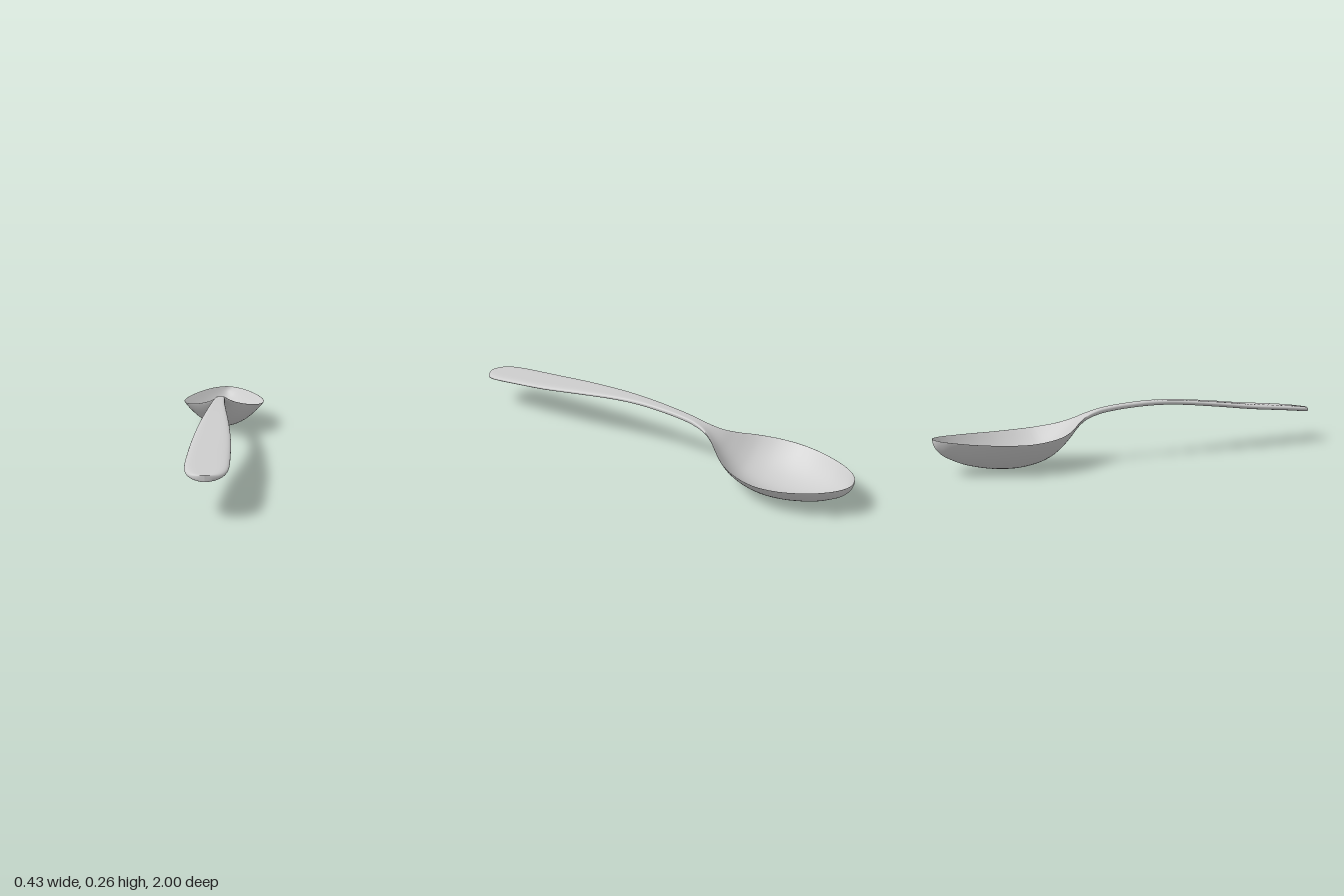
import * as THREE from 'three';

// Stations from handle end to bowl tip: [z, half width, rim height, bowl depth, half thickness]
const STATIONS = [
  [1, 0, 0.157, 0, 0.0125],
  [0.995, 0.028, 0.157, 0, 0.0125],
  [0.98, 0.055, 0.159, 0, 0.0125],
  [0.95, 0.073, 0.163, 0, 0.0125],
  [0.9, 0.083, 0.169, 0, 0.0125],
  [0.8, 0.085, 0.179, 0, 0.0125],
  [0.6, 0.08, 0.197, 0, 0.0125],
  [0.4, 0.066, 0.22, 0, 0.012],
  [0.2, 0.046, 0.239, 0, 0.011],
  [0.05, 0.033, 0.244, 0, 0.011],
  [-0.1, 0.026, 0.237, 0, 0.011],
  [-0.2, 0.024, 0.226, 0, 0.011],
  [-0.25, 0.026, 0.216, 0.001, 0.011],
  [-0.3, 0.036, 0.203, 0.008, 0.01],
  [-0.35, 0.063, 0.184, 0.026, 0.008],
  [-0.4, 0.106, 0.165, 0.057, 0.007],
  [-0.45, 0.149, 0.152, 0.087, 0.006],
  [-0.5, 0.18, 0.143, 0.108, 0.006],
  [-0.57, 0.206, 0.136, 0.122, 0.006],
  [-0.65, 0.217, 0.132, 0.126, 0.006],
  [-0.73, 0.207, 0.133, 0.123, 0.006],
  [-0.8, 0.185, 0.136, 0.114, 0.006],
  [-0.87, 0.152, 0.14, 0.099, 0.006],
  [-0.92, 0.12, 0.144, 0.081, 0.006],
  [-0.96, 0.085, 0.147, 0.061, 0.006],
  [-0.985, 0.051, 0.149, 0.037, 0.006],
  [-0.996, 0.026, 0.15, 0.018, 0.005],
  [-1, 0, 0.15, 0, 0.004],
];
const STEPS = 5;      // rings between two stations
const HALF = 32;      // segments across the top, and again across the underside
const NECK = 13;      // station where the handle meets the bowl

export function createModel() {
  const group = new THREE.Group();
  group.name = 'spoon';
  const material = new THREE.MeshStandardMaterial({ color: 0xcccccc });

  // One smooth curve per column of the table
  const curves = [0, 1, 2, 3, 4].map(
    (k) => new THREE.SplineCurve(STATIONS.map((row, i) => new THREE.Vector2(i, row[k]))));
  const rings = (STATIONS.length - 1) * STEPS;
  const around = HALF * 2;
  const positions = [];

  // Cross-section: a parabolic dish of the given depth, thickened with a rounded rim
  for (let i = 0; i <= rings; i++) {
    const [z, w, rim, depth, thick] = curves.map((c) => c.getPoint(i / rings).y);
    for (let j = 0; j < around; j++) {
      const t = -Math.cos((j / HALF) * Math.PI);
      const side = j < HALF ? 1 : -1;
      const round = Math.sqrt(Math.max(0, 1 - Math.pow(Math.abs(t), 6)));
      positions.push(w * t, rim - depth * (1 - t * t) + side * thick * round, z);
    }
  }

  const strip = (from, to) => {
    const index = [];
    for (let i = from; i < to; i++) {
      for (let j = 0; j < around; j++) {
        const k = (j + 1) % around;
        const a = i * around + j, b = i * around + k;
        const c = b + around, d = a + around;
        index.push(a, b, d, b, c, d);
      }
    }
    return index;
  };

  // Normals come from the whole surface so handle and bowl flow together
  const whole = new THREE.BufferGeometry();
  whole.setAttribute('position', new THREE.Float32BufferAttribute(positions, 3));
  whole.setIndex(strip(0, rings));
  whole.computeVertexNormals();

  const addPart = (name, from, to) => {
    const geometry = whole.clone();
    geometry.setIndex(strip(from, to));
    const mesh = new THREE.Mesh(geometry, material);
    mesh.name = name;
    group.add(mesh);
  };
  addPart('handle', 0, NECK * STEPS);
  addPart('bowl', NECK * STEPS, rings);

  return group;
}
